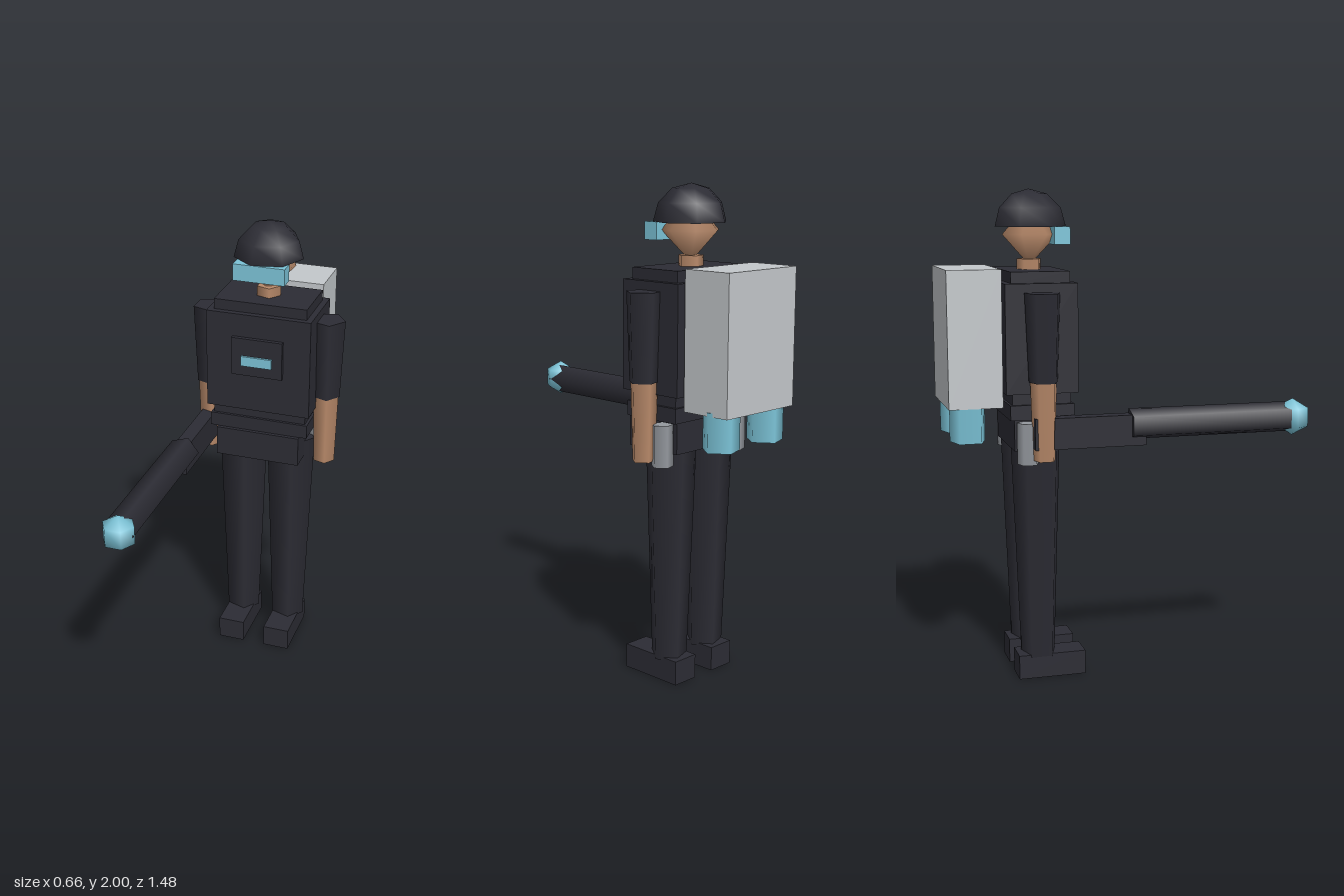
import * as THREE from 'three';

const mat = (name, color, extra) => {
  const m = new THREE.MeshStandardMaterial({ color, ...extra });
  m.name = name;
  return m;
};

export function createModel() {
  const dark = mat('darkFabric', 0x2c2c34);
  const skin = mat('skin', 0xb98a6a);
  const cyan = mat('cyan', 0x7cc4d8);
  const pale = mat('paleGrey', 0xc4c8cb);
  const grey = mat('midGrey', 0x94989e);

  const model = new THREE.Group();
  model.name = 'jetpackTrooper';
  const CX = -0.006, CZ = -0.371; // body axis

  const add = (name, geo, material, x, y, z) => {
    const mesh = new THREE.Mesh(geo, material);
    mesh.name = name;
    mesh.position.set(x, y, z);
    model.add(mesh);
    return mesh;
  };
  // Box from its width, bottom/top and back/front limits
  const box = (name, material, w, y0, y1, z0, z1, x = CX) =>
    add(name, new THREE.BoxGeometry(w, y1 - y0, z1 - z0), material, x, (y0 + y1) / 2, (z0 + z1) / 2);
  // Upright prism with a corner towards +x
  const post = (name, material, rTop, rBottom, y0, y1, x, z = CZ, sides = 5) =>
    add(name, new THREE.CylinderGeometry(rTop, rBottom, y1 - y0, sides, 1, false, Math.PI / 2),
      material, x, (y0 + y1) / 2, z);

  // Head, helmet and visor
  const head = add('head', new THREE.SphereGeometry(0.118, 7, 2, Math.PI), skin, CX, 1.82, CZ);
  head.scale.y = 1.06;
  add('helmet', new THREE.SphereGeometry(0.149, 7, 3, Math.PI, Math.PI * 2, 0, Math.PI / 2), dark, CX, 1.851, CZ);
  const base = new THREE.CircleGeometry(0.149, 7);
  base.rotateX(Math.PI / 2);
  add('helmetBase', base, dark, CX, 1.851, CZ);
  box('visor', cyan, 0.222, 1.78, 1.851, -0.291, -0.226);
  post('neck', skin, 0.052, 0.052, 1.67, 1.722, CX);

  // Torso, belt and hips
  box('collar', dark, 0.405, 1.63, 1.68, -0.488, -0.25);
  box('chest', dark, 0.456, 1.2, 1.635, -0.516, -0.224);
  box('waist', dark, 0.41, 1.15, 1.2, -0.488, -0.25);
  box('belt', dark, 0.434, 1.095, 1.155, -0.498, -0.238);
  box('hips', dark, 0.37, 0.965, 1.095, -0.477, -0.222);
  box('chestPlate', dark, 0.222, 1.368, 1.535, -0.226, -0.206);
  box('chestLight', cyan, 0.135, 1.415, 1.458, -0.208, -0.196);

  // Limbs, feet, hip canisters and thrusters on both sides
  for (const s of [-1, 1]) {
    const side = s > 0 ? 'left' : 'right';
    const armX = CX + s * 0.262, legX = CX + s * 0.109;
    post(side + 'Sleeve', dark, 0.075, 0.061, 1.25, 1.6, armX);
    post(side + 'Forearm', skin, 0.056, 0.047, 0.938, 1.25, armX);
    post(side + 'Leg', dark, 0.109, 0.075, 0.09, 1.035, legX);
    box(side + 'Foot', dark, 0.118, 0, 0.1, -0.466, -0.186, legX);
    post(side + 'Canister', grey, 0.045, 0.045, 0.918, 1.085, CX + s * 0.216, -0.428);
    post(side + 'Thruster', cyan, 0.075, 0.075, 1.005, 1.16, CX + s * 0.131, -0.654);
  }

  // Backpack
  box('backpack', pale, 0.393, 1.145, 1.69, -0.739, -0.523);

  // Gun: stock, barrel and glowing muzzle
  const gunX = -0.267, gunY = 1.067;
  box('gunStock', dark, 0.062, 0.985, 1.11, -0.415, 0.04, gunX);
  const barrel = new THREE.CylinderGeometry(0.066, 0.066, 0.71, 5, 1, false, Math.PI / 2);
  barrel.rotateX(Math.PI / 2);
  add('gunBarrel', barrel, dark, gunX, gunY, 0.335);
  add('gunMuzzle', new THREE.SphereGeometry(0.077, 6, 3), cyan, gunX, gunY + 0.001, 0.681);

  return model;
}
